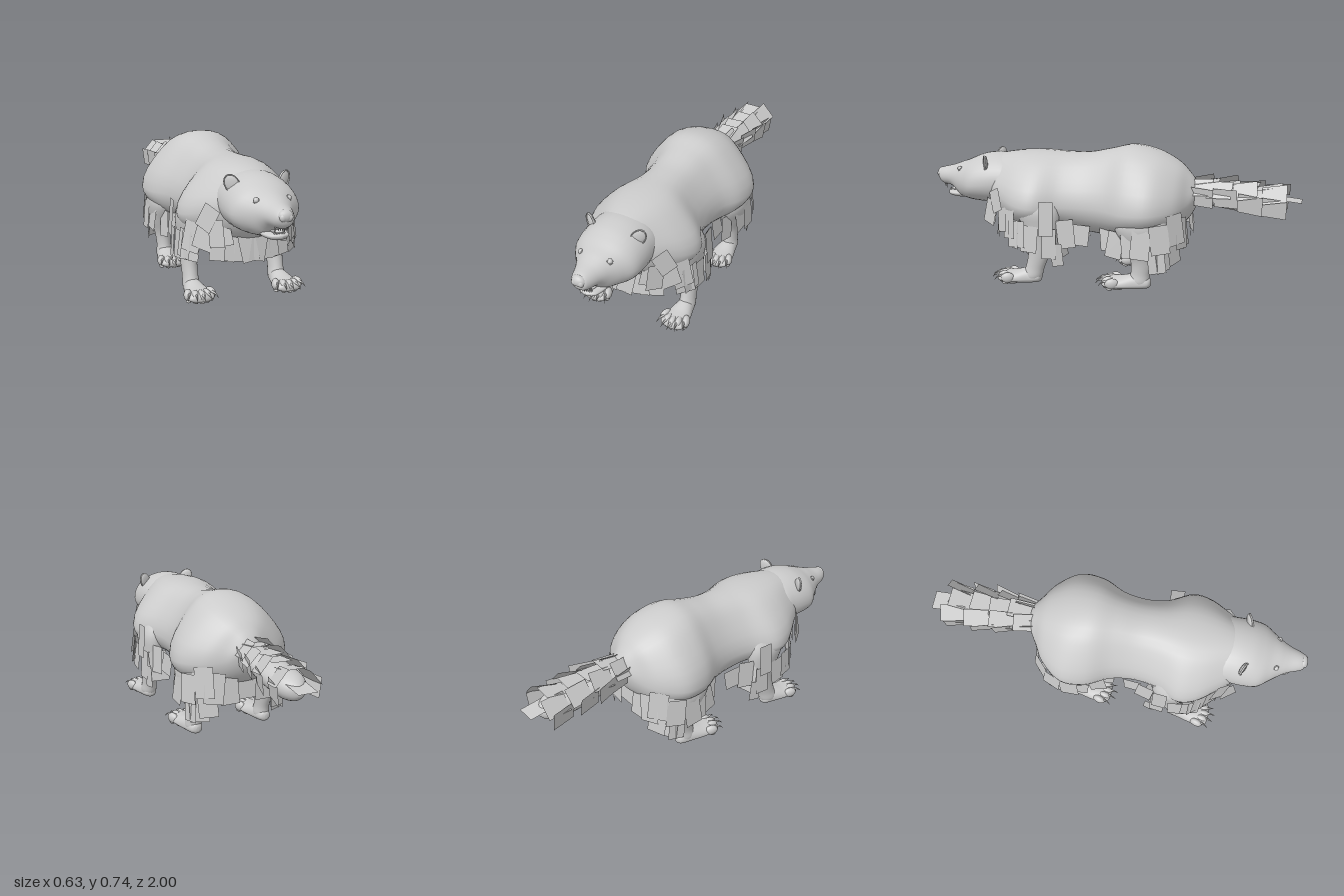
import * as THREE from 'three';

const grey = new THREE.MeshStandardMaterial({ color: 0xcccccc });
const furMat = new THREE.MeshStandardMaterial({ color: 0xcccccc, side: THREE.DoubleSide });
const ball = new THREE.SphereGeometry(1, 20, 14);

function add(parent, name, geometry, pos = [0, 0, 0], scale = [1, 1, 1], rot = [0, 0, 0], mat = grey) {
  const mesh = new THREE.Mesh(geometry, mat);
  mesh.name = name;
  mesh.position.set(...pos);
  mesh.scale.set(...scale);
  mesh.rotation.set(rot[0], rot[1], rot[2], 'YXZ');
  parent.add(mesh);
  return mesh;
}

// Catmull-Rom interpolation of every column of a section list
function smooth(rows, steps = 5) {
  const out = [];
  const at = (i) => rows[Math.max(0, Math.min(rows.length - 1, i))];
  for (let i = 0; i < rows.length - 1; i++) {
    for (let s = 0; s < steps; s++) {
      const t = s / steps;
      out.push(rows[i].map((_, k) => {
        const [a, b, c, d] = [at(i - 1)[k], at(i)[k], at(i + 1)[k], at(i + 2)[k]];
        return b + 0.5 * t * (c - a + t * (2 * a - 5 * b + 4 * c - d + t * (3 * (b - c) + d - a)));
      }));
    }
  }
  out.push(rows[rows.length - 1]);
  return out;
}

// Closed skin over rings; point(row, angle) gives each corner
function loft(rows, point, n = 36) {
  const sections = smooth(rows), pos = [], idx = [];
  sections.forEach((r) => {
    for (let j = 0; j < n; j++) pos.push(...point(r, (j / n) * Math.PI * 2));
  });
  for (let i = 0; i < sections.length - 1; i++) {
    for (let j = 0; j < n; j++) {
      const a = i * n + j, b = i * n + (j + 1) % n;
      idx.push(a, b, a + n, b, b + n, a + n);
    }
  }
  const last = (sections.length - 1) * n;
  for (let j = 1; j < n - 1; j++) idx.push(0, j + 1, j, last, last + j, last + j + 1);
  const g = new THREE.BufferGeometry();
  g.setAttribute('position', new THREE.Float32BufferAttribute(pos, 3));
  g.setIndex(idx);
  g.computeVertexNormals();
  return g;
}

// Rows along z: [z, top, widest height, bottom, half width]; pinch flattens the upper flanks
const alongZ = (rows, pinch = 0) => loft(rows, ([z, top, mid, bot, w], a) => {
  const s = Math.sin(a), c = Math.cos(a);
  const x = s > 0 ? c * (1 - pinch * Math.sin(2 * a) ** 2) : c;
  return [w * x, mid + s * (s > 0 ? top - mid : mid - bot), z];
});
// Rows along y: [y, centre x, centre z, radius x, radius z]
const alongY = (rows, side) => loft(rows, ([y, x, z, rx, rz], a) =>
  [side * x + rx * Math.cos(a), y, z - rz * Math.sin(a)], 24);

// Flat fur card hanging from its top edge
const cardGeo = new THREE.PlaneGeometry(1, 1).translate(0, -0.5, 0);
function furCards(parent, name, list) {
  const group = new THREE.Group();
  group.name = name;
  parent.add(group);
  for (const [x, y, z, w, len, yaw, roll = 0, flare = 0.1] of list) {
    for (const s of [1, -1]) {
      add(group, 'furCard', cardGeo, [s * x, y, z], [w, len, 1], [-flare, s * yaw, s * roll], furMat);
    }
  }
}

function paw(parent, name, x, heel, length) {
  const g = new THREE.Group();
  g.name = name;
  g.position.set(x, 0, heel);
  parent.add(g);
  const L = length;
  add(g, 'foot', alongZ([
    [0, 0.06, 0.048, 0.036, 0.008], [0.06 * L, 0.08, 0.045, 0.02, 0.032], [0.3 * L, 0.094, 0.04, 0.012, 0.046],
    [0.6 * L, 0.077, 0.036, 0.012, 0.064], [0.82 * L, 0.07, 0.038, 0.014, 0.07], [0.94 * L, 0.06, 0.038, 0.018, 0.055],
    [0.98 * L, 0.045, 0.038, 0.03, 0.02]]));
  add(g, 'solePad', ball, [0, 0.014, 0.66 * L], [0.048, 0.012, 0.035]);
  for (let i = -2; i <= 2; i++) {
    const z = L - 0.008 * i * i - 0.018, tx = i * 0.029;
    add(g, 'toe', ball, [tx, 0.047, z - 0.018], [0.02, 0.028, 0.036], [0, i * 0.16, 0]);
    add(g, 'toePad', ball, [tx, 0.02, z - 0.006], [0.013, 0.01, 0.018]);
    const dx = i * 0.005;
    const curve = new THREE.QuadraticBezierCurve3(new THREE.Vector3(tx, 0.058, z + 0.006),
      new THREE.Vector3(tx + dx, 0.062, z + 0.037), new THREE.Vector3(tx + 2 * dx, 0.036, z + 0.05));
    const claw = new THREE.TubeGeometry(curve, 6, 0.0075, 8, false);
    // Taper the claw to a point
    const p = claw.attributes.position, v = new THREE.Vector3();
    for (let k = 0; k < p.count; k++) {
      const t = Math.floor(k / 9) / 6, c = curve.getPointAt(t);
      v.fromBufferAttribute(p, k).sub(c).multiplyScalar(1 - 0.95 * t).add(c);
      p.setXYZ(k, v.x, v.y, v.z);
    }
    claw.computeVertexNormals();
    add(g, 'claw', claw);
  }
}

export function createModel() {
  const model = new THREE.Group();
  model.name = 'furryAnimal';

  add(model, 'torso', alongZ([
    [-0.47, 0.53, 0.5, 0.47, 0.01], [-0.455, 0.56, 0.49, 0.42, 0.07], [-0.42, 0.605, 0.46, 0.36, 0.13],
    [-0.36, 0.66, 0.44, 0.31, 0.225], [-0.25, 0.715, 0.43, 0.275, 0.305], [-0.12, 0.74, 0.425, 0.26, 0.298],
    [0, 0.715, 0.43, 0.25, 0.24], [0.12, 0.69, 0.43, 0.26, 0.222], [0.24, 0.687, 0.43, 0.28, 0.24],
    [0.36, 0.69, 0.43, 0.29, 0.3], [0.46, 0.687, 0.44, 0.29, 0.285], [0.56, 0.675, 0.47, 0.31, 0.22],
    [0.63, 0.655, 0.49, 0.345, 0.165], [0.68, 0.6, 0.49, 0.4, 0.1], [0.7, 0.5, 0.49, 0.48, 0.01]], 0.12));

  // Head with parted jaws
  const head = new THREE.Group();
  head.name = 'head';
  model.add(head);
  add(head, 'skullAndMuzzle', alongZ([
    [0.5, 0.6, 0.53, 0.45, 0.1], [0.55, 0.655, 0.53, 0.4, 0.165], [0.62, 0.668, 0.52, 0.385, 0.176],
    [0.7, 0.66, 0.51, 0.392, 0.177], [0.76, 0.64, 0.505, 0.397, 0.167], [0.81, 0.618, 0.508, 0.402, 0.132],
    [0.85, 0.604, 0.513, 0.412, 0.102], [0.88, 0.592, 0.52, 0.442, 0.083], [0.91, 0.582, 0.522, 0.466, 0.068],
    [0.96, 0.57, 0.522, 0.476, 0.05], [0.982, 0.556, 0.525, 0.495, 0.036], [0.99, 0.535, 0.53, 0.525, 0.005]]));
  add(head, 'lowerJaw', alongZ([
    [0.78, 0.45, 0.43, 0.42, 0.04], [0.84, 0.45, 0.432, 0.405, 0.062],
    [0.885, 0.447, 0.43, 0.407, 0.056], [0.92, 0.445, 0.432, 0.413, 0.044], [0.938, 0.437, 0.433, 0.426, 0.008]]));
  add(head, 'tongue', ball, [0, 0.448, 0.88], [0.03, 0.008, 0.045]);
  add(head, 'nose', ball, [0, 0.537, 0.974], [0.036, 0.029, 0.025]);
  const tooth = new THREE.ConeGeometry(1, 1, 8).translate(0, 0.5, 0);
  for (const s of [1, -1]) {
    add(head, 'nostril', ball, [s * 0.016, 0.532, 0.985], [0.016, 0.018, 0.013]);
    add(head, 'eye', ball, [s * 0.079, 0.58, 0.836], [0.013, 0.013, 0.013]);
    add(head, 'eyelid', new THREE.TorusGeometry(0.0125, 0.0025, 8, 20), [s * 0.08, 0.58, 0.838], [1, 1, 1], [-0.5, s * 0.7, 0]);
    add(head, 'upperCanine', tooth, [s * 0.031, 0.482, 0.94], [0.005, 0.03, 0.005], [Math.PI, 0, 0]);
    add(head, 'lowerCanine', tooth, [s * 0.024, 0.438, 0.917], [0.005, 0.028, 0.005]);
    for (let i = 0; i < 3; i++) {
      add(head, 'upperIncisor', tooth, [s * (0.005 + i * 0.008), 0.482, 0.958 - i * 0.003], [0.005, 0.02, 0.005], [Math.PI, 0, 0]);
      add(head, 'lowerIncisor', tooth, [s * (0.004 + i * 0.007), 0.435, 0.924], [0.004, 0.018, 0.004]);
    }
    const ear = new THREE.Group();
    ear.name = 'ear';
    ear.position.set(s * 0.131, 0.624, 0.672);
    ear.rotation.set(0, s * 0.45, -s * 0.5, 'YXZ');
    head.add(ear);
    add(ear, 'earBack', ball, [0, 0, -0.006], [0.034, 0.046, 0.012]);
    add(ear, 'earRim', new THREE.TorusGeometry(0.034, 0.0025, 8, 28), [0, 0, 0], [1, 1.32, 1.8]);
  }

  // Legs and paws
  for (const s of [1, -1]) {
    add(model, 'frontLeg', alongY([
      [0.02, 0.232, 0.385, 0.025, 0.035], [0.05, 0.232, 0.382, 0.042, 0.054], [0.1, 0.232, 0.365, 0.039, 0.051],
      [0.17, 0.232, 0.343, 0.041, 0.058], [0.25, 0.23, 0.328, 0.048, 0.075], [0.33, 0.228, 0.335, 0.06, 0.1],
      [0.42, 0.222, 0.35, 0.07, 0.115], [0.52, 0.185, 0.36, 0.06, 0.09]], s));
    paw(model, 'frontPaw', s * 0.232, 0.33, 0.24);
    add(model, 'hindLeg', alongY([
      [0.02, 0.2, -0.195, 0.025, 0.035], [0.05, 0.2, -0.19, 0.042, 0.055], [0.1, 0.2, -0.2, 0.038, 0.052],
      [0.17, 0.202, -0.213, 0.044, 0.068], [0.25, 0.208, -0.21, 0.062, 0.1], [0.35, 0.212, -0.2, 0.076, 0.14],
      [0.45, 0.195, -0.21, 0.07, 0.13]], s));
    paw(model, 'hindPaw', s * 0.2, -0.255, 0.265);
  }

  // Hanging fur
  furCards(model, 'chestFur', [
    [0.04, 0.37, 0.62, 0.085, 0.145, 0.1, -0.2], [0.08, 0.36, 0.605, 0.1, 0.13, 0.15, 0.1], [0.135, 0.38, 0.585, 0.12, 0.15, 0.35, 0.08],
    [0.165, 0.44, 0.6, 0.09, 0.13, 0.6, -0.25], [0.205, 0.41, 0.555, 0.1, 0.13, 0.75, 0.25],
    [0.197, 0.5, 0.6, 0.09, 0.12, 0.9, 0.45], [0.19, 0.44, 0.61, 0.09, 0.13, 1, -0.2],
    [0.25, 0.42, 0.5, 0.1, 0.16, 0.9, 0.15], [0.255, 0.36, 0.47, 0.1, 0.15, 0.8, 0.08]]);
  furCards(model, 'foreLegFur', [
    [0.296, 0.475, 0.28, 0.075, 0.18, 1.65, 0, 0.08], [0.288, 0.33, 0.27, 0.075, 0.16, 1.7, 0, 0.06],
    [0.285, 0.25, 0.235, 0.06, 0.12, 1.8, 0.1, 0], [0.28, 0.36, 0.45, 0.1, 0.14, 1.3, 0.06],
    [0.29, 0.34, 0.37, 0.09, 0.14, 1.5, -0.06], [0.24, 0.37, 0.2, 0.09, 0.15, 1.8, 0.1], [0.21, 0.34, 0.12, 0.1, 0.11, 1.7, -0.1],
    [0.23, 0.33, 0.235, 0.1, 0.17, 2.8, 0.1]]);
  furCards(model, 'hindLegFur', [
    [0.19, 0.34, -0.02, 0.09, 0.13, 1.5, 0.1], [0.23, 0.32, -0.08, 0.09, 0.14, 1.4, -0.15],
    [0.27, 0.32, -0.15, 0.09, 0.12, 1.5, 0.1], [0.285, 0.35, -0.22, 0.1, 0.15, 1.6, -0.08],
    [0.272, 0.38, -0.3, 0.1, 0.15, 1.95, 0.1], [0.25, 0.27, -0.28, 0.09, 0.15, 1.8, 0.12], [0.22, 0.25, -0.31, 0.1, 0.13, 2.6, 0.08],
    [0.22, 0.43, -0.37, 0.1, 0.16, 2.4, 0.1], [0.165, 0.4, -0.4, 0.1, 0.16, 2.75, -0.08],
    [0.1, 0.37, -0.405, 0.1, 0.14, 3.0, 0.06], [0.04, 0.34, -0.39, 0.1, 0.1, 3.14], [0.2, 0.32, -0.36, 0.1, 0.16, 2.7, 0.1]]);

  // Bushy tail, bare underneath
  const tail = new THREE.Group();
  tail.name = 'tail';
  model.add(tail);
  add(tail, 'tailCore', alongZ([
    [-0.93, 0.48, 0.46, 0.44, 0.01], [-0.9, 0.505, 0.46, 0.412, 0.05], [-0.83, 0.53, 0.468, 0.4, 0.08],
    [-0.68, 0.54, 0.48, 0.415, 0.088], [-0.53, 0.545, 0.5, 0.435, 0.075], [-0.4, 0.55, 0.5, 0.45, 0.06]]));
  const backCard = new THREE.PlaneGeometry(0.1, 0.13).rotateX(-Math.PI / 2).translate(0, 0, -0.065);
  const rings = [[-0.43, 0.5, 0.065, 0.05], [-0.54, 0.5, 0.08, 0.045], [-0.66, 0.485, 0.09, 0.058], [-0.79, 0.47, 0.088, 0.065]];
  rings.forEach(([z, y, rx, ry], k) => {
    for (let i = 0; i < 5; i++) {
      const phi = (i - 2) * 0.85, ring = new THREE.Group();
      ring.name = 'tailFurCard';
      ring.position.set(rx * Math.sin(phi), y + ry * Math.cos(phi), z + 0.02 * Math.sin(i * 2.3 + k));
      ring.rotation.z = -phi;
      tail.add(ring);
      add(ring, 'furCard', backCard, [0, 0, 0], [1, 1, 1],
        [0.2 + 0.08 * Math.sin(i * 1.7 + k), 0.08 * Math.sin(i * 3.1 + k * 2), 0], furMat);
    }
  });
  add(tail, 'tipCard', backCard, [0, 0.494, -0.87], [1, 1, 1], [-0.1, 0, 0], furMat);

  return model;
}
